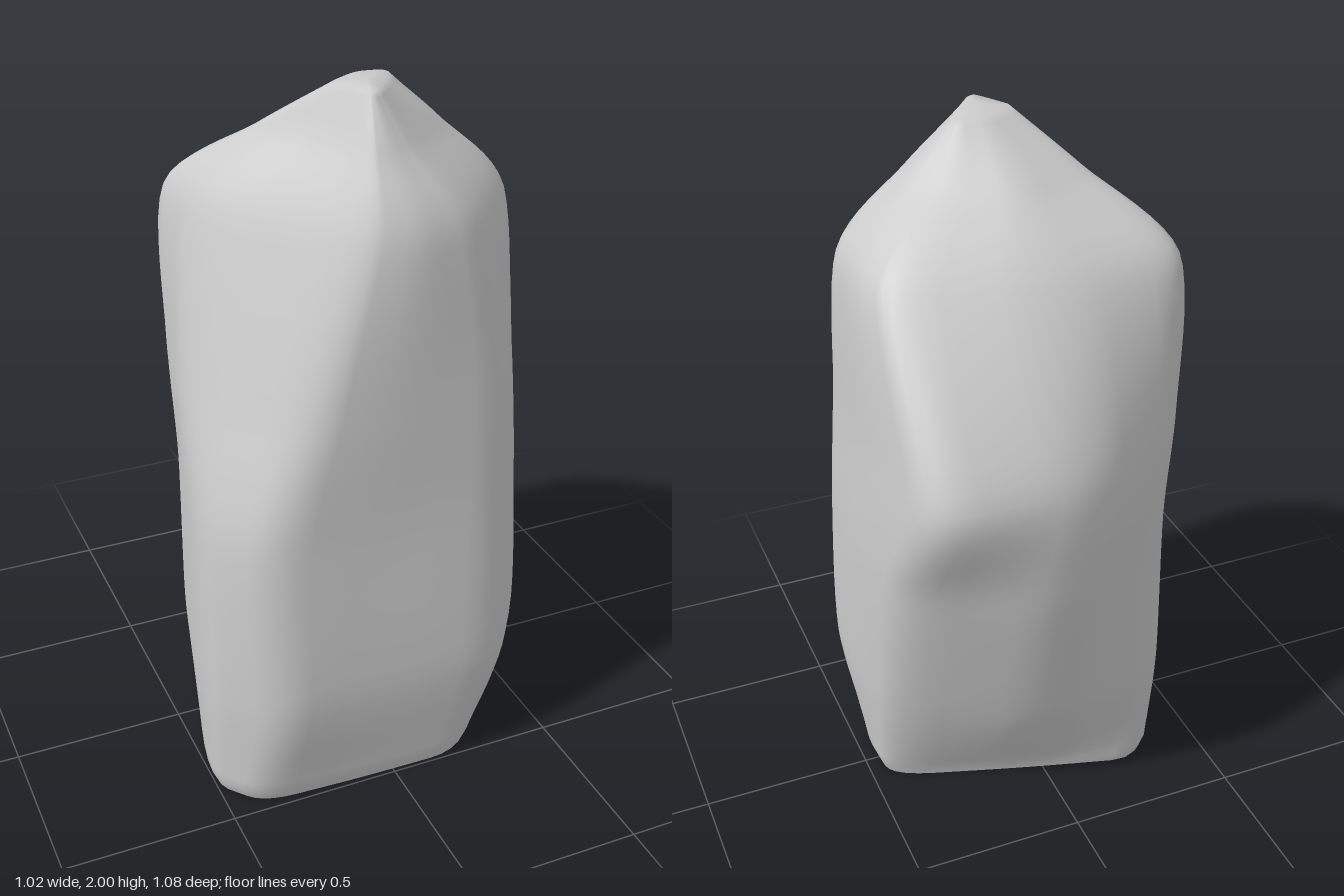
import * as THREE from 'three';

// Cross-sections: height, then nine x,z corners running from the front -x corner
// round the front, the +x side, the back and the -x side.
const SECTIONS = [
  [0.03, -0.41, 0.48, -0.1, 0.495, 0.23, 0.5, 0.44, 0.2, 0.47, 0.06, 0.46, -0.1, 0.05, -0.23, -0.34, -0.34, -0.525, 0.34],
  [0.35, -0.36, 0.54, -0.1, 0.535, 0.32, 0.525, 0.495, 0.28, 0.51, 0.03, 0.47, -0.2, 0.05, -0.41, -0.37, -0.33, -0.54, 0.35],
  [0.85, -0.37, 0.51, -0.02, 0.5, 0.32, 0.49, 0.49, 0.26, 0.51, -0.02, 0.48, -0.36, 0.05, -0.555, -0.38, -0.29, -0.525, 0.29],
  [1.2, -0.25, 0.485, 0.02, 0.49, 0.32, 0.47, 0.475, 0.23, 0.485, -0.1, 0.445, -0.53, 0, -0.53, -0.41, -0.27, -0.485, 0.16],
  [1.65, -0.09, 0.44, 0.06, 0.47, 0.22, 0.44, 0.45, 0.2, 0.45, 0, 0.415, -0.17, 0, -0.28, -0.425, -0.23, -0.38, 0.04],
  [1.85, -0.04, 0.36, 0.02, 0.37, 0.09, 0.35, 0.25, 0.2, 0.27, 0.1, 0.2, 0.0, 0, -0.09, -0.23, 0, -0.165, 0.14],
  [1.99, -0.01, 0.285, 0, 0.29, 0.02, 0.28, 0.07, 0.21, 0.11, 0.15, 0.1, 0.12, 0.03, 0.11, -0.07, 0.17, -0.04, 0.23],
];
const CORNERS = 9;
const STEPS = 48; // rings up the height
const ROUND = 6; // points per rounded corner

// Turn a ring of corners into a closed outline with rounded corners
function roundRing(ring, amount) {
  const out = [];
  ring.forEach((p, i) => {
    const prev = ring[(i + CORNERS - 1) % CORNERS];
    const next = ring[(i + 1) % CORNERS];
    const curve = new THREE.QuadraticBezierCurve3(
      p.clone().lerp(prev, amount), p, p.clone().lerp(next, amount));
    for (let k = 0; k < ROUND; k++) out.push(curve.getPoint(k / (ROUND - 1)));
  });
  return out;
}

function rockGeometry() {
  // One fairly taut curve up each corner of the rock
  const columns = [];
  for (let c = 0; c < CORNERS; c++) {
    columns.push(new THREE.CatmullRomCurve3(SECTIONS.map(
      (s) => new THREE.Vector3(s[1 + 2 * c], s[0], s[2 + 2 * c])), false, 'catmullrom', 0.4));
  }
  const rings = [];
  for (let i = 0; i <= STEPS; i++) {
    rings.push(roundRing(columns.map((c) => c.getPoint(i / STEPS)), 0.32));
  }
  // Slightly tucked-in foot
  const foot = rings[0].map((p) => new THREE.Vector3(p.x * 0.975, 0, 0.09 + (p.z - 0.09) * 0.975));
  rings.unshift(foot);

  const n = CORNERS * ROUND;
  const points = rings.flat();
  const index = [];
  for (let i = 0; i < rings.length - 1; i++) {
    for (let j = 0; j < n; j++) {
      const a = i * n + j, b = i * n + (j + 1) % n;
      index.push(a, b, b + n, a, b + n, a + n);
    }
  }
  // Smooth crown, and a flat base with its own sharp edge
  const top = points.length;
  points.push(new THREE.Vector3(0.02, 2, 0.2));
  const last = (rings.length - 1) * n;
  for (let j = 0; j < n; j++) index.push(last + j, last + (j + 1) % n, top);
  const base = points.length;
  points.push(...foot, new THREE.Vector3(0, 0, 0.09));
  for (let j = 0; j < n; j++) index.push(base + (j + 1) % n, base + j, base + n);

  const geometry = new THREE.BufferGeometry().setFromPoints(points);
  geometry.setIndex(index);
  geometry.computeVertexNormals();
  return geometry;
}

export function createModel() {
  const group = new THREE.Group();
  group.name = 'standingRock';
  const rock = new THREE.Mesh(rockGeometry(), new THREE.MeshStandardMaterial({ color: 0xcccccc }));
  rock.name = 'rock';
  group.add(rock);
  return group;
}
